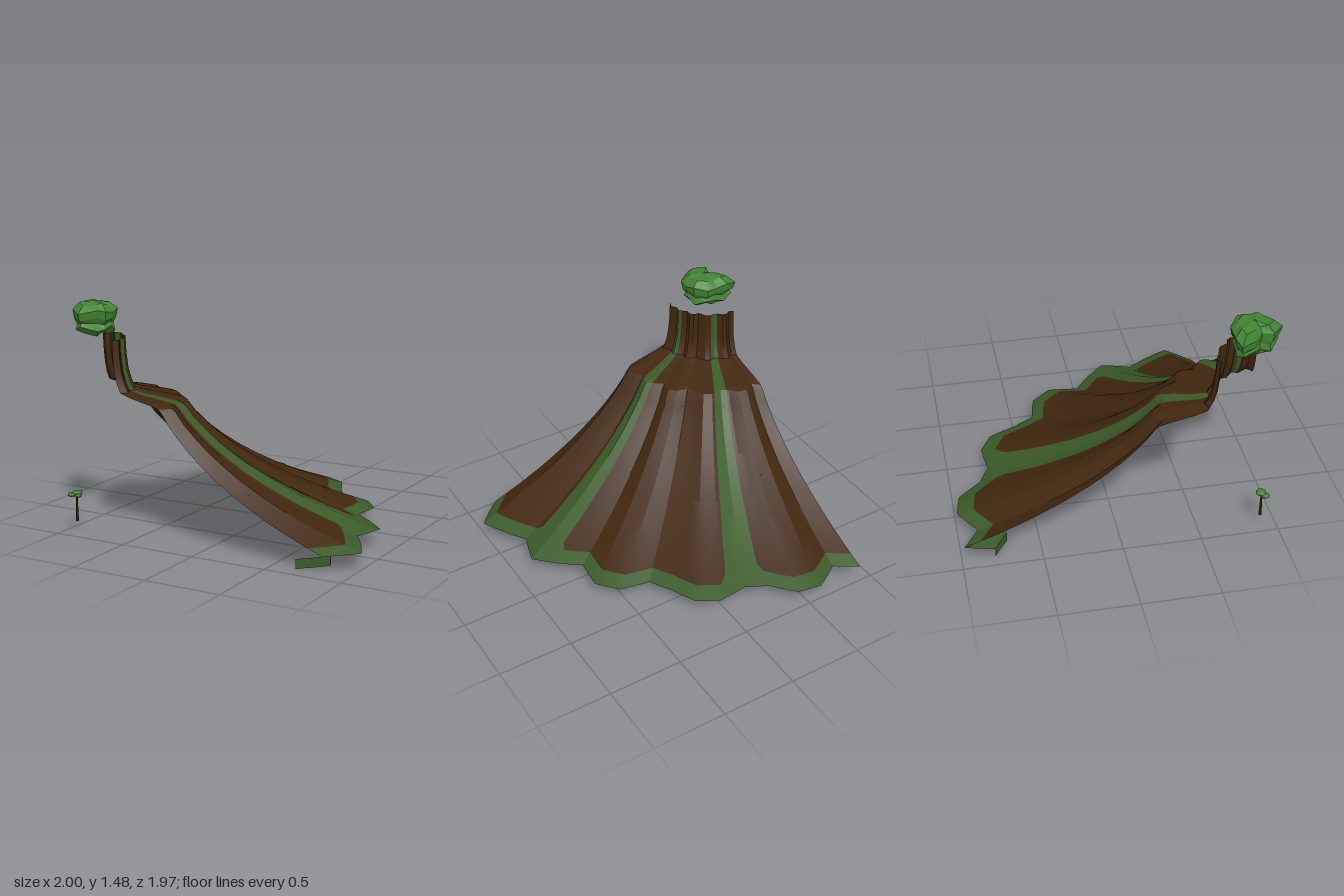
import * as THREE from 'three';
import { toCreasedNormals } from 'three/addons/utils/BufferGeometryUtils.js';

const CX = -0.92, CZ = 0.9, DEG = Math.PI / 180;

const mat = (name, color) => {
  const m = new THREE.MeshStandardMaterial({ color, side: THREE.DoubleSide });
  m.name = name;
  return m;
};

// Scalloped foot of the slope, as x, z around the quarter fan
const OUTLINE = [
  [0.83, 0.9], [1, 0.73], [0.92, 0.57], [0.83, 0.43], [0.89, 0.23], [0.77, 0.11], [0.63, 0],
  [0.65, -0.2], [0.54, -0.33], [0.34, -0.37], [0.26, -0.51], [0.18, -0.68], [0.04, -0.76],
  [-0.16, -0.74], [-0.3, -0.81], [-0.43, -0.96], [-0.59, -0.99], [-0.77, -0.88], [-0.92, -0.98],
].map(([x, z]) => ({ a: Math.atan2(CZ - z, x - CX) / DEG, r: Math.hypot(x - CX, z - CZ) }));

// Radius of the foot at an angle in degrees
function footRadius(a) {
  let i = 1;
  while (i < OUTLINE.length - 1 && OUTLINE[i].a < a) i++;
  const p = OUTLINE[i - 1], q = OUTLINE[i];
  return p.r + (q.r - p.r) * THREE.MathUtils.clamp((a - p.a) / (q.a - p.a), 0, 1);
}

// Slope profile: share of the foot radius, height
const PROFILE = [
  [0.172, 1.255], [0.174, 1.15], [0.18, 1.05], [0.19, 0.98], [0.203, 0.93], [0.245, 0.905], [0.32, 0.875],
  [0.36, 0.855], [0.373, 0.835], [0.4, 0.765], [0.435, 0.695], [0.48, 0.615], [0.53, 0.54], [0.59, 0.46],
  [0.66, 0.38], [0.73, 0.31], [0.79, 0.255], [0.86, 0.198], [0.915, 0.158], [0.945, 0.138],
  [1, 0.1], [0.9, 0.06], [0.9, 0],
];
const RIM = 19; // rows from here outward are grass

const STRIPES = [20, 65], HALF = 3.7;

const point = (a, share, y) => {
  const r = share * footRadius(a);
  return [CX + r * Math.cos(a * DEG), y, CZ - r * Math.sin(a * DEG)];
};

const meshOf = (name, positions, material, crease) => {
  let g = new THREE.BufferGeometry();
  g.setAttribute('position', new THREE.Float32BufferAttribute(positions, 3));
  if (crease) g = toCreasedNormals(g, crease);
  else g.computeVertexNormals();
  const m = new THREE.Mesh(g, material);
  m.name = name;
  return m;
};

const pushQuad = (out, a, b, c, d) => out.push(...a, ...b, ...c, ...a, ...c, ...d);

function buildSlope(earth, grass) {
  // Columns: every outline corner, its midpoints and the stripe edges
  let cols = [];
  OUTLINE.forEach((p, i) => {
    cols.push(p.a);
    if (i < OUTLINE.length - 1) cols.push((p.a + OUTLINE[i + 1].a) / 2);
  });
  const edges = STRIPES.flatMap((s) => [s - HALF, s + HALF]);
  cols = cols.filter((a) => edges.every((e) => Math.abs(a - e) > 1.2));
  cols = cols.concat(edges).sort((a, b) => a - b);

  // Stripe edges flare where they run into the rim
  const at = (i, j) => {
    let a = cols[i];
    const e = edges.indexOf(a);
    if (e >= 0 && j === RIM) a += e % 2 ? 1.1 : -1.1;
    return point(a, ...PROFILE[j]);
  };
  const brown = [], green = [];
  for (let i = 0; i < cols.length - 1; i++) {
    const mid = (cols[i] + cols[i + 1]) / 2;
    const striped = STRIPES.some((s) => Math.abs(mid - s) < HALF);
    for (let j = 0; j < PROFILE.length - 1; j++) {
      const out = striped || j >= RIM ? green : brown;
      pushQuad(out, at(i, j), at(i, j + 1), at(i + 1, j + 1), at(i + 1, j));
    }
  }
  const group = new THREE.Group();
  group.name = 'mountainSlope';
  group.add(meshOf('earthSlope', brown, earth, 0.3), meshOf('grassStripesAndRim', green, grass, 0.3));
  return group;
}

// Ragged canopy lofted from rings that share one jagged outline
function buildCanopy(leaf) {
  const cx = -0.82, cz = 0.8;
  const shape = [
    [-1, 0.68], [-0.92, 0.66], [-0.84, 0.665], [-0.77, 0.67], [-0.69, 0.73], [-0.675, 0.8],
    [-0.68, 0.87], [-0.72, 0.9], [-0.81, 0.98], [-0.91, 0.9], [-0.89, 0.83], [-0.95, 0.77],
  ];
  // scale, height, raggedness
  const rings = [[0.03, 1.3, 0], [0.6, 1.275, 0.014], [0.88, 1.31, 0.02], [0.8, 1.345, 0.01],
    [0.93, 1.37, 0.012], [1, 1.42, 0.012], [0.68, 1.462, 0.008], [0.03, 1.475, 0]];
  const at = (k, i) => {
    const [x, z] = shape[i % shape.length], [s, y, w] = rings[k];
    return [cx + (x - cx) * s, y + w * Math.sin(i % shape.length * 2.3 + k), cz + (z - cz) * s];
  };
  const pos = [];
  for (let k = 0; k < rings.length - 1; k++)
    for (let i = 0; i < shape.length; i++)
      pushQuad(pos, at(k, i), at(k + 1, i), at(k + 1, i + 1), at(k, i + 1));
  return meshOf('summitCanopy', pos, leaf);
}

function buildSmallTree(bark, leaf) {
  const tree = new THREE.Group();
  tree.name = 'smallTree';
  const trunk = new THREE.Mesh(new THREE.CylinderGeometry(0.006, 0.01, 0.165, 6), bark);
  trunk.name = 'trunk';
  trunk.position.set(-0.92, 0.152, 0.9);
  tree.add(trunk);
  for (const [x, y, z, s] of [[-0.92, 0.25, 0.895, 0.034], [-0.945, 0.242, 0.915, 0.028], [-0.9, 0.24, 0.91, 0.022]]) {
    const g = new THREE.IcosahedronGeometry(s, 1).scale(1, 0.55, 1);
    g.computeVertexNormals();
    const tuft = new THREE.Mesh(g, leaf);
    tuft.name = 'leafTuft';
    tuft.position.set(x, y, z);
    tree.add(tuft);
  }
  return tree;
}

// Tiny sprouts scattered on the slope: angle, profile row
function buildSprouts(leaf) {
  const group = new THREE.Group();
  group.name = 'sprouts';
  for (const [a, j] of [[3, 14], [31, 11], [32, 17], [40, 13], [43.5, 9], [66, 9], [76, 13]]) {
    const sprout = new THREE.Mesh(new THREE.ConeGeometry(0.005, 0.018, 5), leaf);
    sprout.name = 'sprout';
    sprout.position.set(...point(a, ...PROFILE[j]));
    group.add(sprout);
  }
  return group;
}

export function createModel() {
  const earth = mat('earthBrown', 0x41270f);
  const grass = mat('grassGreen', 0x3a5a28);
  const leaf = mat('leafGreen', 0x418432);
  const bark = mat('barkBrown', 0x2e1a0c);

  const model = new THREE.Group();
  model.name = 'mountainQuarter';
  model.add(buildSlope(earth, grass), buildCanopy(leaf), buildSmallTree(bark, leaf), buildSprouts(leaf));
  return model;
}
